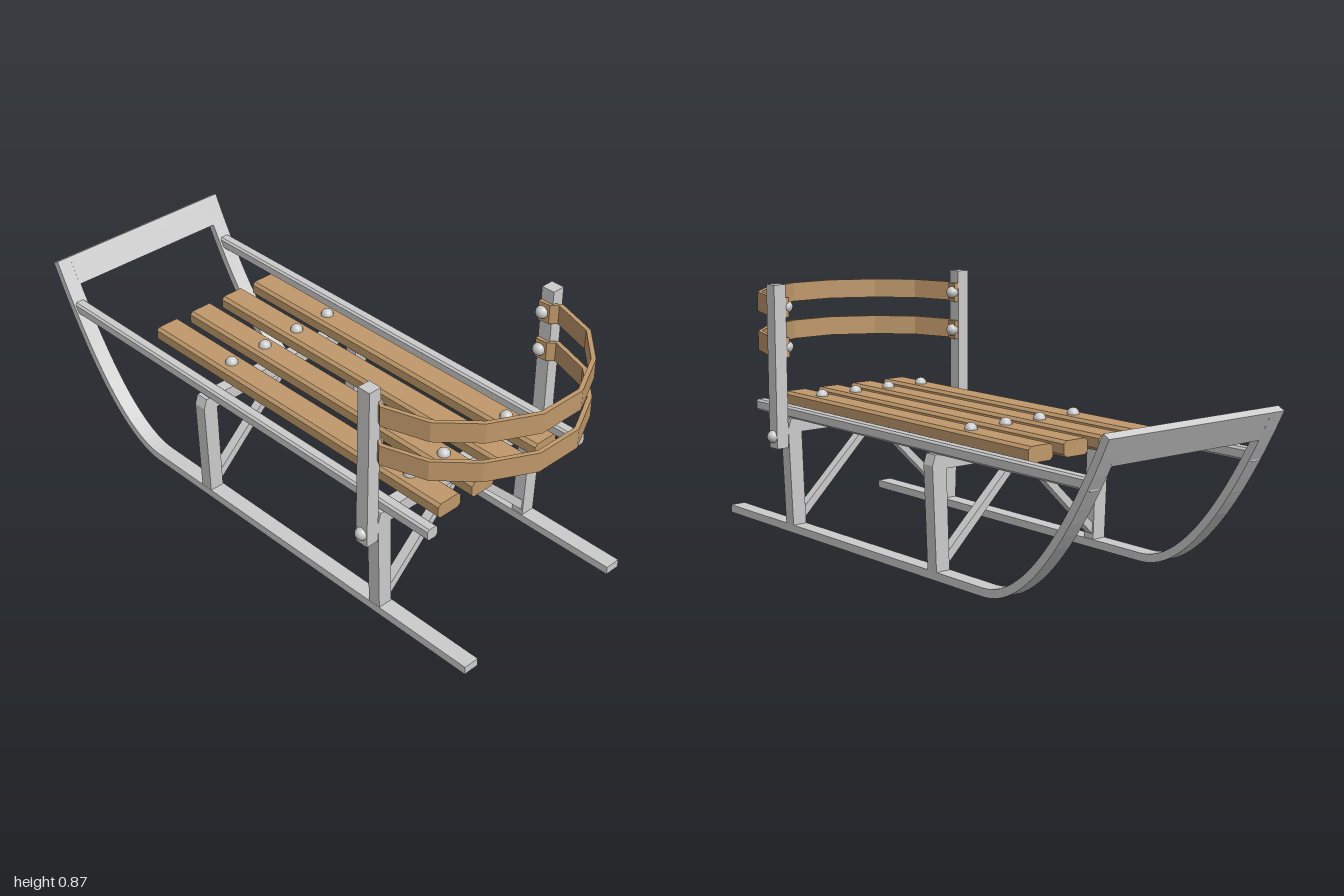
import * as THREE from 'three';

const metal = new THREE.MeshStandardMaterial({ color: 0xcccccc });
const wood = new THREE.MeshStandardMaterial({ color: 0xc0996b });

const V = (x, y) => new THREE.Vector2(x, y);

// Flat strip of even thickness that follows a 2D path
function stripShape(points, thickness) {
  const last = points.length - 1;
  const side = (sign) => points.map((p, i) => {
    const a = points[Math.max(i - 1, 0)], b = points[Math.min(i + 1, last)];
    const t = b.clone().sub(a).normalize();
    return V(p.x - t.y * sign * thickness / 2, p.y + t.x * sign * thickness / 2);
  });
  return new THREE.Shape([...side(1), ...side(-1).reverse()]);
}

// Rectangle with cut corners
function chamferedShape(w, h, c) {
  const x = w / 2, y = h / 2;
  return new THREE.Shape([
    V(x - c, -y), V(x, -y + c), V(x, y - c), V(x - c, y),
    V(-x + c, y), V(-x, y - c), V(-x, -y + c), V(-x + c, -y),
  ]);
}

// Extrusion centred on its depth
function extrude(shape, depth) {
  return new THREE.ExtrudeGeometry(shape, { depth, bevelEnabled: false })
    .translate(0, 0, -depth / 2);
}

export function createModel() {
  const sled = new THREE.Group();
  sled.name = 'sled';

  function add(name, geometry, material, x = 0, y = 0, z = 0) {
    const mesh = new THREE.Mesh(geometry, material);
    mesh.name = name;
    mesh.position.set(x, y, z);
    sled.add(mesh);
    return mesh;
  }

  const boltGeometry = new THREE.SphereGeometry(0.022, 12, 8);

  // Runners: straight along the ground, then sweeping up at the back
  const sweep = new THREE.QuadraticBezierCurve(V(0.45, 0.014), V(0.7, 0.014), V(0.985, 0.575));
  const path = [V(-1, 0.014), ...sweep.getPoints(18)];
  const runnerGeometry = extrude(stripShape(path, 0.028), 0.056).rotateY(Math.PI / 2);
  for (const s of [-1, 1]) add('runner', runnerGeometry, metal, s * 0.333);

  // Crossbar joining the raised runner tips
  const tip = [0.915, 1].map((t) => sweep.getPoint(t));
  add('tipCrossbar', extrude(stripShape(tip, 0.028), 0.62).rotateY(Math.PI / 2), metal);

  // Two trestle frames, each with a pair of diagonal braces
  const half = [[0.36, 0.02], [0.374, 0.37], [0.363, 0.404], [-0.363, 0.404], [-0.374, 0.37],
    [-0.36, 0.02], [-0.308, 0.02], [-0.319, 0.356], [0.319, 0.356], [0.308, 0.02]];
  const trestleGeometry = extrude(new THREE.Shape(half.map(([x, y]) => V(x, y))), 0.046);
  for (const z of [0.612, -0.198]) {
    add('trestle', trestleGeometry, metal, 0, 0, z);
    for (const s of [-1, 1]) {
      const brace = new THREE.Shape([V(0, 0.352), V(s * 0.313, 0.043), V(s * 0.313, 0.083), V(s * 0.025, 0.36), V(0, 0.36)]);
      add('brace', extrude(brace, 0.034), metal, 0, 0, z);
    }
  }

  // Side rails under the seat level
  const railGeometry = extrude(chamferedShape(0.042, 0.04, 0.007), 1.73);
  for (const s of [-1, 1]) add('sideRail', railGeometry, metal, s * 0.334, 0.423, -0.045);

  // Seat slats with their bolts
  const slatGeometry = extrude(chamferedShape(0.097, 0.052, 0.01), 1.325);
  for (const x of [-0.22, -0.073, 0.071, 0.214]) {
    add('seatSlat', slatGeometry, wood, x, 0.441, 0.117);
    for (const z of [0.615, -0.212]) add('seatBolt', boltGeometry, metal, x, 0.467, z);
  }

  // Upright posts with an outer bolt and two inner bolts each
  const postGeometry = new THREE.BoxGeometry(0.046, 0.565, 0.048);
  for (const s of [-1, 1]) {
    add('backrestPost', postGeometry, metal, s * 0.398, 0.5875, 0.612);
    add('postBolt', boltGeometry, metal, s * 0.421, 0.346, 0.612);
    for (const y of [0.653, 0.791]) add('backrestBolt', boltGeometry, metal, s * 0.361, y, 0.606);
  }

  // Curved backrest bands, bent in flat facets
  const bend = [[0.368, 0.59], [0.372, 0.63], [0.392, 0.655], [0.343, 0.805], [0.234, 0.915], [0.083, 0.992]];
  const bandPath = [...bend.map(([x, z]) => V(x, z)), ...bend.map(([x, z]) => V(-x, z)).reverse()];
  const bandGeometry = extrude(stripShape(bandPath, 0.015), 0.068).rotateX(Math.PI / 2);
  for (const y of [0.653, 0.791]) add('backrestBand', bandGeometry, wood, 0, y);

  return sled;
}
